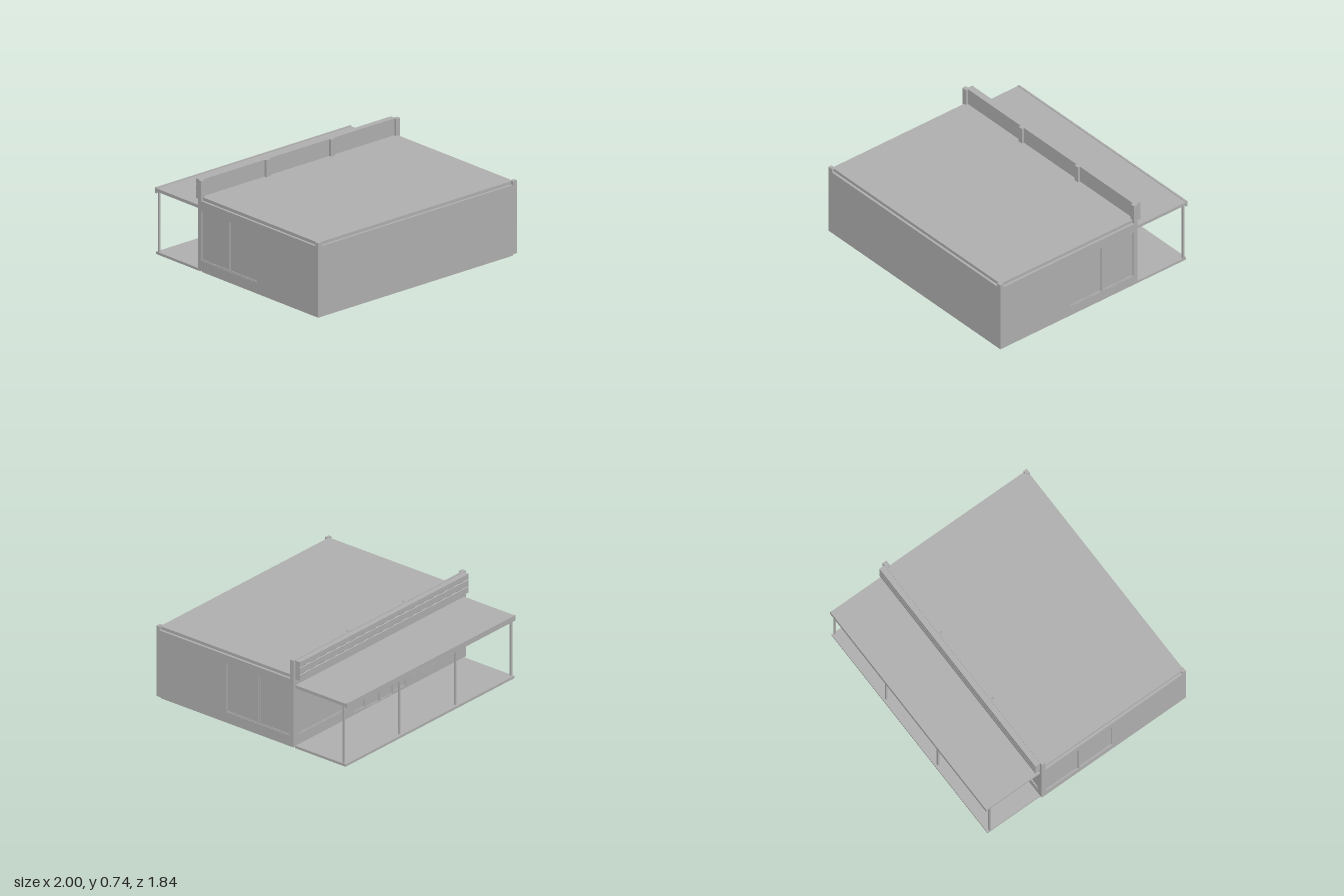
import * as THREE from 'three';

const grey = new THREE.MeshStandardMaterial({ color: 0xb0b0b0 });
grey.name = 'plain grey';

// Box given by its min and max on each axis
function block(parent, name, [x0, x1], [y0, y1], [z0, z1]) {
  const mesh = new THREE.Mesh(new THREE.BoxGeometry(x1 - x0, y1 - y0, z1 - z0), grey);
  mesh.position.set((x0 + x1) / 2, (y0 + y1) / 2, (z0 + z1) / 2);
  mesh.name = name;
  parent.add(mesh);
  return mesh;
}

const points = (list) => list.map(([x, y]) => new THREE.Vector2(x, y));
const rectangle = ([a, b, c, d]) => points([[a, c], [b, c], [b, d], [a, d]]);

function extrude(parent, name, outline, holes, depth) {
  const shape = new THREE.Shape(outline);
  shape.holes = holes.map((h) => new THREE.Path(h));
  const mesh = new THREE.Mesh(new THREE.ExtrudeGeometry(shape, { depth, bevelEnabled: false }), grey);
  mesh.name = name;
  parent.add(mesh);
  return mesh;
}

// Wall facing local +z, with a recessed frame and pane in each opening
function wall(name, outline, openings, depth) {
  const group = new THREE.Group();
  group.name = name;
  extrude(group, name + 'Panel', points(outline), openings.map(rectangle), depth);
  for (const o of openings) {
    const [a, b, c, d] = o, f = 0.008;
    extrude(group, 'windowFrame', rectangle(o), [rectangle([a + f, b - f, c + f, d - f])], depth - 0.004);
    block(group, 'windowPane', [a + f, b - f], [c + f, d - f], [0.001, depth - 0.01]);
  }
  return group;
}

export function createModel() {
  const model = new THREE.Group();
  model.name = 'pavilion';

  // Floor slabs and main roof
  block(model, 'floorSlab', [-0.98, 0.98], [0, 0.02], [-0.4, 0.9]);
  block(model, 'porchSlab', [-0.98, 0.98], [0, 0.02], [-0.91, -0.417]);
  block(model, 'roofSlab', [-0.98, 0.98], [0.56, 0.6], [-0.405, 0.9]);

  // Front wall with raised corners
  const front = wall('frontWall', [[-1, 0.02], [1, 0.02], [1, 0.605], [0.96, 0.605],
    [0.96, 0.575], [-0.96, 0.575], [-0.96, 0.605], [-1, 0.605]], [], 0.02);
  front.position.z = 0.9;
  model.add(front);

  // Side walls with paired windows
  for (const s of [1, -1]) {
    const side = wall(s > 0 ? 'leftWall' : 'rightWall',
      [[-0.9, 0.02], [0.385, 0.02], [0.385, 0.575], [-0.89, 0.575], [-0.89, 0.605], [-0.9, 0.605]]
        .map(([u, y]) => [s * u, y]),
      [[-0.24, 0.07], [0.078, 0.382]].map(([a, b]) =>
        [Math.min(s * a, s * b), Math.max(s * a, s * b), 0.1, 0.5]), 0.02);
    side.rotation.y = s * Math.PI / 2;
    side.position.x = s * 0.98;
    model.add(side);
  }

  // Back wall rising into the parapet, with windows, sidelights and double door
  const back = wall('backWall', [[-1, 0.02], [1, 0.02], [1, 0.735], [-1, 0.735]], [
    [-0.95, -0.36, 0.1, 0.5], [0.36, 0.95, 0.1, 0.5],
    [-0.3, -0.17, 0.04, 0.5], [0.17, 0.3, 0.04, 0.5],
    [-0.155, -0.003, 0.025, 0.5], [0.003, 0.155, 0.025, 0.5]], 0.015);
  back.rotation.y = Math.PI;
  back.position.z = -0.405;
  model.add(back);

  // Columns behind the parapet
  for (const x of [-0.98, -0.325, 0.325, 0.98]) {
    block(model, 'parapetColumn', [x - 0.02, x + 0.02], [0.02, 0.735], [-0.405, -0.385]);
  }

  // Fascia board with two shallow grooves
  const board = extrude(model, 'fasciaBoard', points([[0.42, 0.575], [0.465, 0.575], [0.465, 0.622],
    [0.46, 0.627], [0.465, 0.632], [0.465, 0.68], [0.46, 0.685], [0.465, 0.69], [0.465, 0.73],
    [0.42, 0.73]]), [], 1.96);
  board.rotation.y = Math.PI;
  board.geometry.rotateY(-Math.PI / 2).translate(0.98, 0, 0);

  // Porch canopy, its edge trim and slim posts
  block(model, 'canopy', [-0.98, 0.98], [0.5, 0.525], [-0.91, -0.42]);
  block(model, 'canopyTrim', [-0.98, 0.98], [0.485, 0.53], [-0.922, -0.908]);
  for (const x of [-0.972, -0.325, 0.325, 0.972]) {
    block(model, 'porchPost', [x - 0.007, x + 0.007], [0.02, 0.5], [-0.892, -0.878]);
  }
  return model;
}
